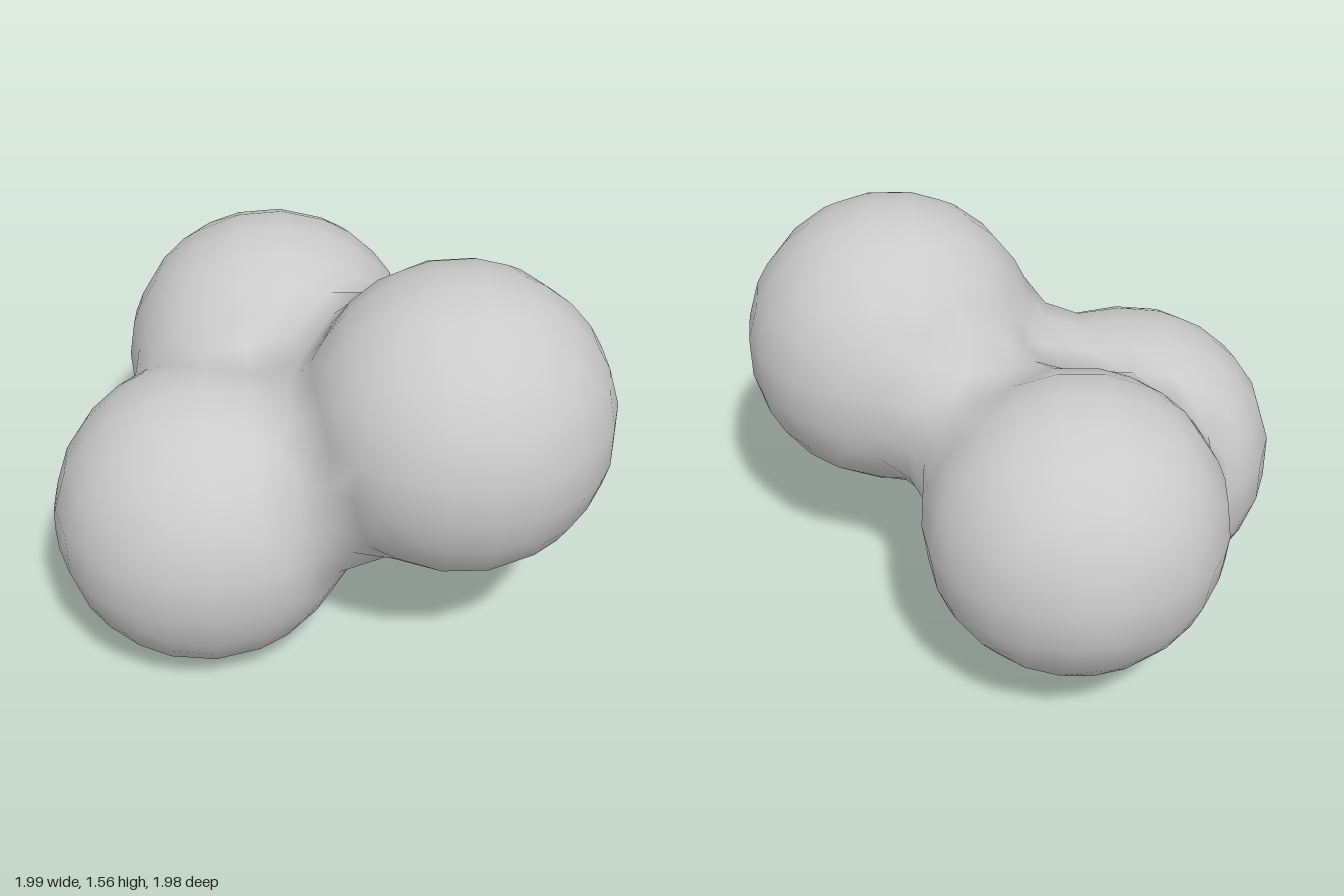
import * as THREE from 'three';

// Three equal balls, joined by rounded fillets of one radius
const BALLS = [
  new THREE.Vector3(0.45, 1.025, 0.445),
  new THREE.Vector3(-0.45, 0.553, 0.295),
  new THREE.Vector3(-0.167, 0.77, -0.44),
];
const RADIUS = 0.552;
const FILLET = 0.25;
const OUTER = RADIUS + FILLET; // shell on which the centre of the rolling fillet moves
const CELL = 0.158;
const N = 17;
const ORIGIN = new THREE.Vector3(-1.3, -0.25, -1.3);

// Creases of the shell: a circle for each pair of balls
const CREASES = [[0, 1], [1, 2], [2, 0]].map(([i, j]) => {
  const axis = BALLS[j].clone().sub(BALLS[i]);
  return {
    mid: BALLS[i].clone().lerp(BALLS[j], 0.5),
    radius: Math.sqrt(OUTER ** 2 - axis.lengthSq() / 4),
    axis: axis.normalize(),
  };
});

// Corners of the shell: the two points where all three balls' shells meet
function shellCorners() {
  const [a, b, c] = BALLS;
  const u = b.clone().sub(a), v = c.clone().sub(a), n = u.clone().cross(v);
  const offset = v.clone().cross(n).multiplyScalar(u.lengthSq())
    .addScaledVector(n.clone().cross(u), v.lengthSq())
    .divideScalar(2 * n.lengthSq());
  const height = Math.sqrt(OUTER ** 2 - offset.lengthSq());
  return [1, -1].map((s) => a.clone().add(offset).addScaledVector(n.clone().normalize(), s * height));
}
const CORNERS = shellCorners();

// Nearest point of the shell to p
function shellPoint(p) {
  const candidates = [...CORNERS];
  for (const b of BALLS) candidates.push(p.clone().sub(b).setLength(OUTER).add(b));
  for (const { mid, axis, radius } of CREASES) {
    candidates.push(p.clone().sub(mid).projectOnPlane(axis).setLength(radius).add(mid));
  }
  return candidates
    .filter((q) => BALLS.every((b) => q.distanceTo(b) > OUTER - 1e-6))
    .reduce((best, q) => (q.distanceTo(p) < best.distanceTo(p) ? q : best));
}

// Depth below the skin, negative outside
function depth(p) {
  const outside = Math.min(...BALLS.map((b) => p.distanceTo(b))) - OUTER;
  return (outside > 0 ? -outside : shellPoint(p).distanceTo(p)) - FILLET;
}

const gridPoint = (i) => new THREE.Vector3(...i).multiplyScalar(CELL).add(ORIGIN);
const step = (i, axis, d) => i.map((v, a) => (a === axis ? v + d : v));

// Skin: one vertex per crossed cell, one quad per crossed grid edge
function blendedSkin() {
  const cells = new Map(); // cell key -> sum of the crossings around it
  const quads = [];
  for (let x = 1; x < N; x++) for (let y = 1; y < N; y++) for (let z = 1; z < N; z++) {
    const i = [x, y, z];
    const p = gridPoint(i), f = depth(p);
    for (let axis = 0; axis < 3; axis++) {
      const q = gridPoint(step(i, axis, 1)), h = depth(q);
      if ((f > 0) === (h > 0)) continue;
      const hit = p.clone().lerp(q, f / (f - h));
      const b = (axis + 1) % 3, c = (axis + 2) % 3;
      const ring = [step(step(i, b, -1), c, -1), step(i, c, -1), i, step(i, b, -1)].map(String);
      for (const key of ring) {
        if (!cells.has(key)) cells.set(key, { sum: new THREE.Vector3(), count: 0 });
        const cell = cells.get(key);
        cell.sum.add(hit);
        cell.count++;
      }
      quads.push(f > 0 ? ring : ring.reverse());
    }
  }

  // Average the crossings, then move each vertex to fillet distance from the shell
  const points = [], positions = [], normals = [], index = [];
  for (const cell of cells.values()) {
    const p = cell.sum.divideScalar(cell.count);
    const centre = shellPoint(p);
    const normal = centre.clone().sub(p).normalize();
    p.copy(centre).addScaledVector(normal, -FILLET);
    cell.id = points.push(p) - 1;
    positions.push(...p.toArray());
    normals.push(...normal.toArray());
  }

  // Split each quad along its shorter diagonal
  for (const ring of quads) {
    const [a, b, c, d] = ring.map((key) => cells.get(key).id);
    if (points[a].distanceTo(points[c]) < points[b].distanceTo(points[d])) index.push(a, b, c, a, c, d);
    else index.push(a, b, d, b, c, d);
  }

  const geometry = new THREE.BufferGeometry();
  geometry.setAttribute('position', new THREE.Float32BufferAttribute(positions, 3));
  geometry.setAttribute('normal', new THREE.Float32BufferAttribute(normals, 3));
  geometry.setIndex(index);
  return geometry;
}

export function createModel() {
  const group = new THREE.Group();
  group.name = 'blendedBalls';
  const skin = new THREE.Mesh(blendedSkin(), new THREE.MeshStandardMaterial({ color: 0xcccccc }));
  skin.name = 'ballCluster';
  group.add(skin);
  return group;
}
